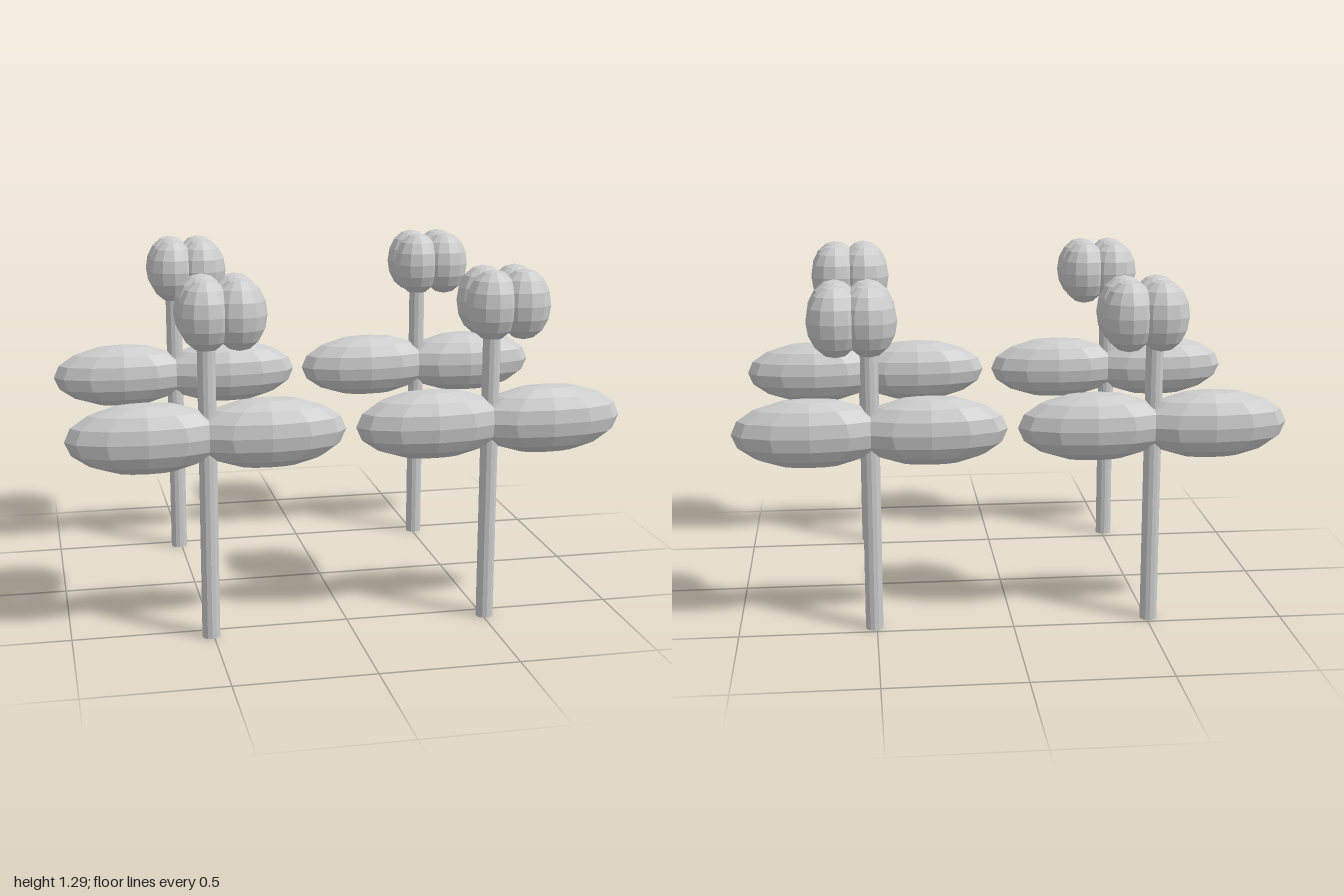
import * as THREE from 'three';

const material = new THREE.MeshStandardMaterial({ color: 0xcccccc, flatShading: true });
const ballGeometry = new THREE.SphereGeometry(1, 12, 8);
const STEM_HEIGHT = 1.1;
const stemGeometry = new THREE.CylinderGeometry(0.032, 0.032, STEM_HEIGHT, 12);

// Faceted ellipsoid with the given centre and radii
function ellipsoid(name, position, radii) {
  const mesh = new THREE.Mesh(ballGeometry, material);
  mesh.name = name;
  mesh.position.set(...position);
  mesh.scale.set(...radii);
  return mesh;
}

function createFlower() {
  const flower = new THREE.Group();
  flower.name = 'flower';

  const stem = new THREE.Mesh(stemGeometry, material);
  stem.name = 'stem';
  stem.position.y = STEM_HEIGHT / 2;
  flower.add(stem);

  // Pair of long leaves meeting at the stem
  for (const side of [-1, 1]) {
    flower.add(ellipsoid(side > 0 ? 'leftLeaf' : 'rightLeaf',
      [side * 0.213, 0.743, 0], [0.278, 0.127, 0.1]));
  }

  // Four petals in a square, with one corner above the stem
  const blossom = new THREE.Group();
  blossom.name = 'blossom';
  for (const x of [0, 0.116]) {
    for (const z of [0, -0.116]) {
      blossom.add(ellipsoid('petal', [x, 1.163, z], [0.098, 0.127, 0.087]));
    }
  }
  flower.add(blossom);
  return flower;
}

export function createModel() {
  const model = new THREE.Group();
  model.name = 'flowerBed';
  // Two rows of two flowers
  for (const x of [-0.509, 0.509]) {
    for (const z of [0.558, -0.457]) {
      const flower = createFlower();
      flower.position.set(x, 0, z);
      model.add(flower);
    }
  }
  return model;
}
